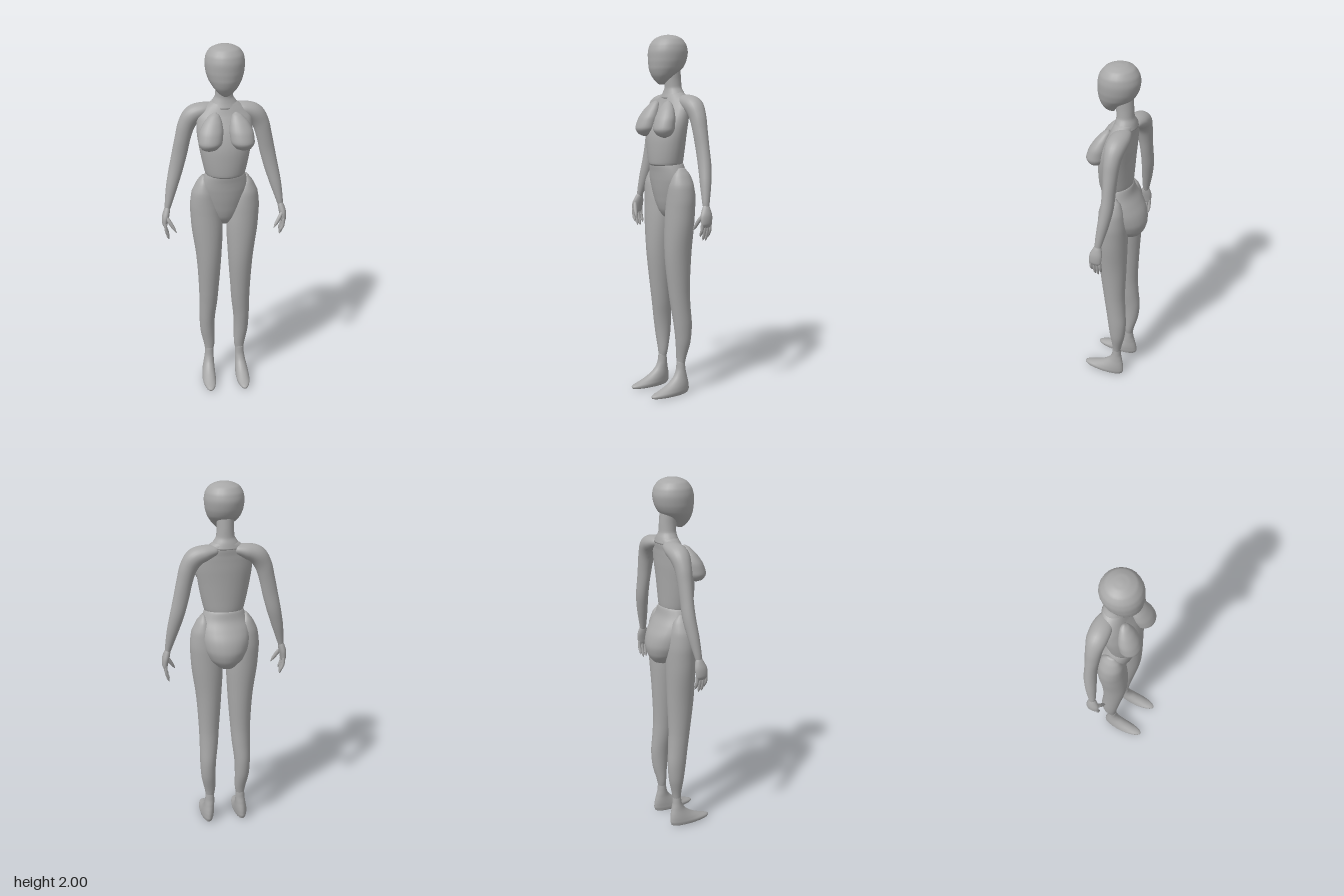
import * as THREE from 'three';

const skin = new THREE.MeshStandardMaterial({ color: 0xa8a8a8 });
skin.name = 'plain grey';

const UP = new THREE.Vector3(0, 1, 0);
const FRONT = new THREE.Vector3(0, 0, 1);

// Smooth closed body through elliptical sections [x, y, z, radius across, radius in depth].
// With level = true every section stays horizontal, otherwise it follows the path.
function loft(name, sections, { side = 1, level = true, steps = 5, sides = 24 } = {}) {
  const path = new THREE.CatmullRomCurve3(sections.map(s => new THREE.Vector3(s[0] * side, s[1], s[2])));
  const size = new THREE.CatmullRomCurve3(sections.map(s => new THREE.Vector3(s[3], s[4], 0)));
  const rows = (sections.length - 1) * steps;
  const rising = sections[0][1] < sections[sections.length - 1][1];
  const pos = [], index = [];
  for (let i = 0; i <= rows; i++) {
    const p = path.getPoint(i / rows), r = size.getPoint(i / rows);
    const t = level ? UP.clone().multiplyScalar(rising ? 1 : -1) : path.getTangent(i / rows);
    const a = FRONT.clone().addScaledVector(t, -FRONT.dot(t)).normalize();
    const b = t.clone().cross(a);
    for (let j = 0; j < sides; j++) {
      const u = j / sides * Math.PI * 2;
      const v = p.clone()
        .addScaledVector(a, Math.cos(u) * Math.max(r.y, 0.001))
        .addScaledVector(b, Math.sin(u) * Math.max(r.x, 0.001));
      pos.push(v.x, v.y, v.z);
    }
  }
  for (let i = 0; i < rows; i++) {
    for (let j = 0; j < sides; j++) {
      const k = (j + 1) % sides;
      const p = i * sides + j, q = i * sides + k;
      index.push(p, q, q + sides, p, q + sides, p + sides);
    }
  }
  // end caps
  for (const [row, end, flip] of [[0, 0, true], [rows, 1, false]]) {
    const c = path.getPoint(end);
    const n = pos.push(c.x, c.y, c.z) / 3 - 1;
    for (let j = 0; j < sides; j++) {
      const p = row * sides + j, q = row * sides + (j + 1) % sides;
      index.push(n, flip ? q : p, flip ? p : q);
    }
  }
  const geo = new THREE.BufferGeometry();
  geo.setAttribute('position', new THREE.Float32BufferAttribute(pos, 3));
  geo.setIndex(index);
  geo.computeVertexNormals();
  const mesh = new THREE.Mesh(geo, skin);
  mesh.name = name;
  return mesh;
}

// Level section given by its front and back z
const slice = (x, y, front, back, rx) => [x, y, (front + back) / 2, rx, (front - back) / 2];

// Hand: palm, four fingers and thumb
function hand(side, prefix) {
  const group = new THREE.Group();
  group.name = prefix + 'Hand';
  group.add(loft('palm', [
    [0.316, 1.105, -0.035, 0.012, 0.015], [0.32, 1.085, -0.033, 0.018, 0.024],
    [0.329, 1.045, -0.028, 0.02, 0.036], [0.333, 1.005, -0.026, 0.015, 0.034],
    [0.331, 0.985, -0.026, 0.006, 0.024],
  ], { side, sides: 16 }));
  [0.93, 0.912, 0.915, 0.935].forEach((tip, i) => {
    const z = -0.052 + i * 0.0175;
    group.add(loft('finger', [
      [0.332, 1.015, z, 0.008, 0.008], [0.328, 0.97, z, 0.009, 0.009],
      [0.318, tip + 0.015, z, 0.007, 0.007], [0.313, tip, z, 0.001, 0.001],
    ], { side, level: false, steps: 4, sides: 10 }));
  });
  group.add(loft('thumb', [
    [0.325, 1.055, -0.008, 0.007, 0.008], [0.308, 1.025, 0.004, 0.011, 0.011],
    [0.287, 0.99, 0.013, 0.009, 0.009], [0.272, 0.965, 0.019, 0.001, 0.001],
  ], { side, level: false, steps: 4, sides: 10 }));
  return group;
}

export function createModel() {
  const model = new THREE.Group();
  model.name = 'mannequin';

  model.add(loft('head', [
    slice(0, 1.735, 0.045, 0.015, 0.012), slice(0, 1.748, 0.06, 0.005, 0.032),
    slice(0, 1.78, 0.083, -0.03, 0.062), slice(0, 1.82, 0.097, -0.09, 0.088),
    slice(0, 1.86, 0.1, -0.113, 0.101), slice(0, 1.905, 0.099, -0.122, 0.106),
    slice(0, 1.945, 0.088, -0.114, 0.1), slice(0, 1.978, 0.062, -0.09, 0.078),
    slice(0, 1.995, 0.025, -0.055, 0.042), slice(0, 2, -0.005, -0.025, 0.01),
  ]));

  model.add(loft('neck', [
    slice(0, 1.66, 0.015, -0.11, 0.09), slice(0, 1.69, 0.005, -0.103, 0.068),
    slice(0, 1.72, 0, -0.093, 0.049), slice(0, 1.77, 0.003, -0.09, 0.045),
    slice(0, 1.83, 0.005, -0.085, 0.045),
  ]));

  model.add(loft('torso', [
    slice(0, 1.292, 0.08, -0.07, 0.09), slice(0, 1.305, 0.092, -0.083, 0.107),
    slice(0, 1.38, 0.095, -0.088, 0.126), slice(0, 1.46, 0.09, -0.092, 0.141),
    slice(0, 1.54, 0.068, -0.097, 0.151), slice(0, 1.61, 0.035, -0.1, 0.146),
    slice(0, 1.66, 0.014, -0.105, 0.108), slice(0, 1.692, 0, -0.1, 0.065),
    slice(0, 1.7, -0.02, -0.08, 0.035),
  ]));

  model.add(loft('pelvis', [
    slice(0, 0.985, -0.05, -0.09, 0.015), slice(0, 1.0, 0.0, -0.13, 0.048),
    slice(0, 1.045, 0.035, -0.162, 0.095), slice(0, 1.1, 0.052, -0.172, 0.122),
    slice(0, 1.16, 0.064, -0.158, 0.135), slice(0, 1.215, 0.072, -0.127, 0.138),
    slice(0, 1.26, 0.077, -0.1, 0.126), slice(0, 1.305, 0.083, -0.088, 0.106),
    slice(0, 1.318, 0.07, -0.075, 0.09),
  ]));

  for (const [side, prefix] of [[1, 'left'], [-1, 'right']]) {
    model.add(loft(prefix + 'Breast', [
      [0.092, 1.452, 0.077, 0.008, 0.008], [0.091, 1.464, 0.078, 0.04, 0.034],
      [0.086, 1.5, 0.076, 0.064, 0.056], [0.08, 1.55, 0.064, 0.064, 0.052],
      [0.07, 1.6, 0.047, 0.049, 0.038], [0.06, 1.635, 0.032, 0.026, 0.021],
      [0.056, 1.648, 0.026, 0.005, 0.005],
    ], { side }));

    // shoulder to wrist
    model.add(loft(prefix + 'Arm', [
      [0.03, 1.655, -0.07, 0.008, 0.012], [0.055, 1.652, -0.069, 0.026, 0.038],
      [0.11, 1.64, -0.066, 0.042, 0.054], [0.165, 1.617, -0.065, 0.05, 0.054],
      [0.2, 1.565, -0.065, 0.047, 0.045], [0.222, 1.49, -0.065, 0.043, 0.039],
      [0.242, 1.4, -0.066, 0.042, 0.034], [0.264, 1.31, -0.064, 0.039, 0.034],
      [0.289, 1.215, -0.052, 0.032, 0.03], [0.311, 1.12, -0.038, 0.02, 0.021],
      [0.317, 1.09, -0.035, 0.015, 0.017],
    ], { side, level: false }));
    model.add(hand(side, prefix));

    model.add(loft(prefix + 'Leg', [
      slice(0.116, 0.17, -0.016, -0.06, 0.024).map((v, i) => i ? v : 0.09),
      slice(0.09, 0.21, -0.013, -0.068, 0.031), slice(0.099, 0.3, -0.003, -0.09, 0.041),
      slice(0.1, 0.4, 0.01, -0.098, 0.046), slice(0.094, 0.5, 0.024, -0.091, 0.052),
      slice(0.091, 0.6, 0.038, -0.086, 0.057), slice(0.09, 0.8, 0.06, -0.093, 0.071),
      slice(0.099, 1.0, 0.06, -0.1, 0.088), slice(0.107, 1.1, 0.056, -0.1, 0.086),
      slice(0.116, 1.19, 0.05, -0.09, 0.067), slice(0.118, 1.25, 0.03, -0.07, 0.036),
      slice(0.118, 1.285, 0, -0.04, 0.008),
    ], { side }));

    model.add(loft(prefix + 'Foot', [
      slice(0.1, 0, 0.09, -0.06, 0.024), slice(0.1, 0.008, 0.164, -0.078, 0.036),
      slice(0.1, 0.02, 0.168, -0.083, 0.039), slice(0.099, 0.04, 0.115, -0.084, 0.038),
      slice(0.097, 0.065, 0.058, -0.081, 0.035), slice(0.094, 0.1, 0.012, -0.073, 0.03),
      slice(0.091, 0.14, -0.009, -0.064, 0.027), slice(0.09, 0.19, -0.015, -0.06, 0.025),
    ], { side }));
  }
  return model;
}
